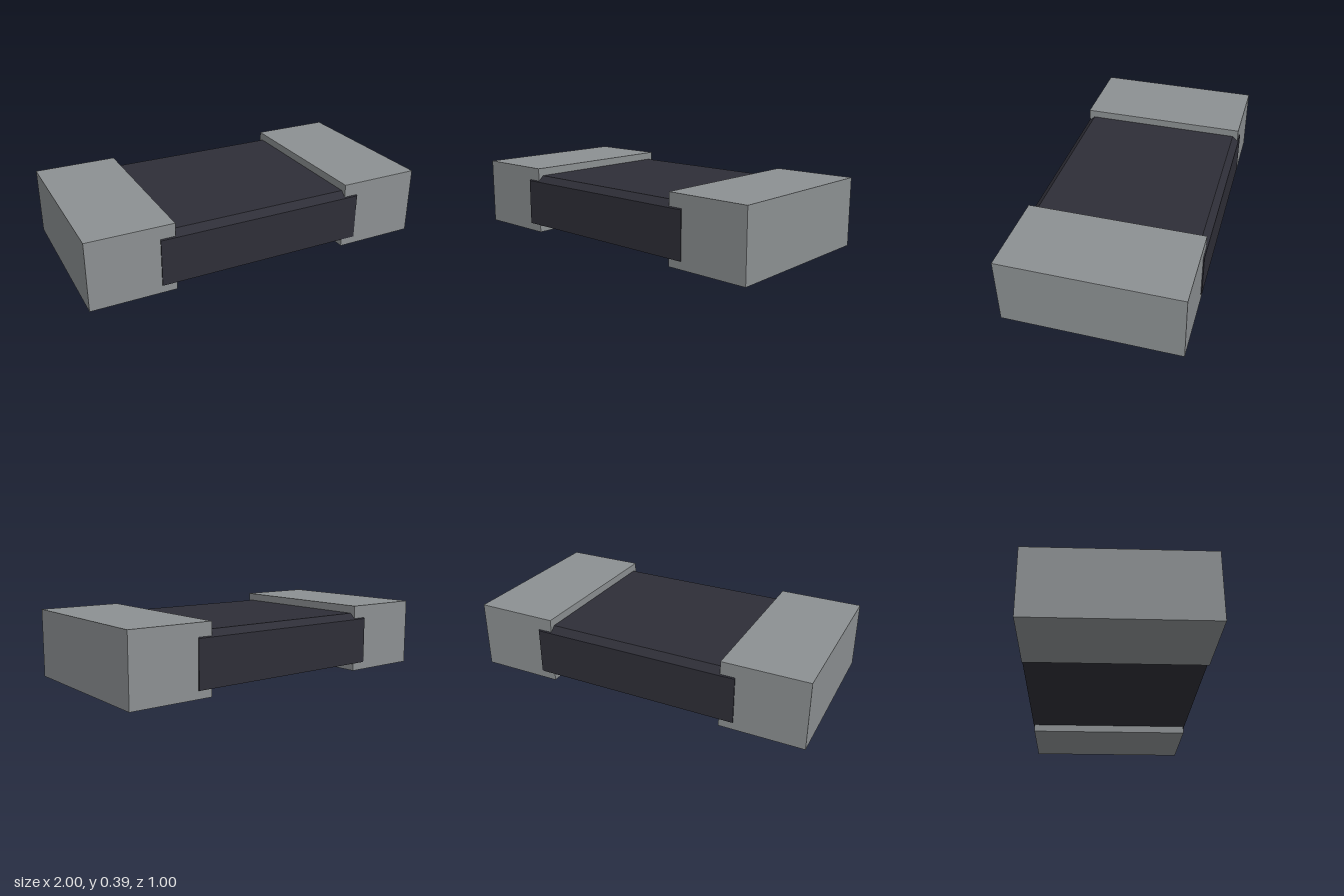
import * as THREE from 'three';

export function createModel() {
  const group = new THREE.Group();
  const metal = new THREE.MeshStandardMaterial({ color: 0x8c9092 });
  metal.name = 'grey metal';
  const dark = new THREE.MeshStandardMaterial({ color: 0x2e2e37 });
  dark.name = 'dark body';

  // Body: cross-section with bevelled top edges, extruded along x.
  // Its sides stand slightly proud of the end caps.
  const section = new THREE.Shape([
    [-0.5, 0.045], [0.5, 0.045], [0.5, 0.31],
    [0.462, 0.345], [-0.462, 0.345], [-0.5, 0.31],
  ].map(([z, y]) => new THREE.Vector2(z, y)));
  const length = 1.21;
  const bodyGeometry = new THREE.ExtrudeGeometry(section, { depth: length, bevelEnabled: false });
  bodyGeometry.translate(0, 0, -length / 2).rotateY(Math.PI / 2);
  const body = new THREE.Mesh(bodyGeometry, dark);
  body.name = 'body';
  group.add(body);

  // Metal end caps, mirrored left and right
  const capWidth = 0.478, capHeight = 0.39;
  for (const side of [-1, 1]) {
    const cap = new THREE.Mesh(new THREE.BoxGeometry(capWidth, capHeight, 0.988), metal);
    cap.position.set(side * (1 - capWidth / 2), capHeight / 2, 0);
    cap.name = side > 0 ? 'leftEndCap' : 'rightEndCap';
    group.add(cap);
  }
  return group;
}
